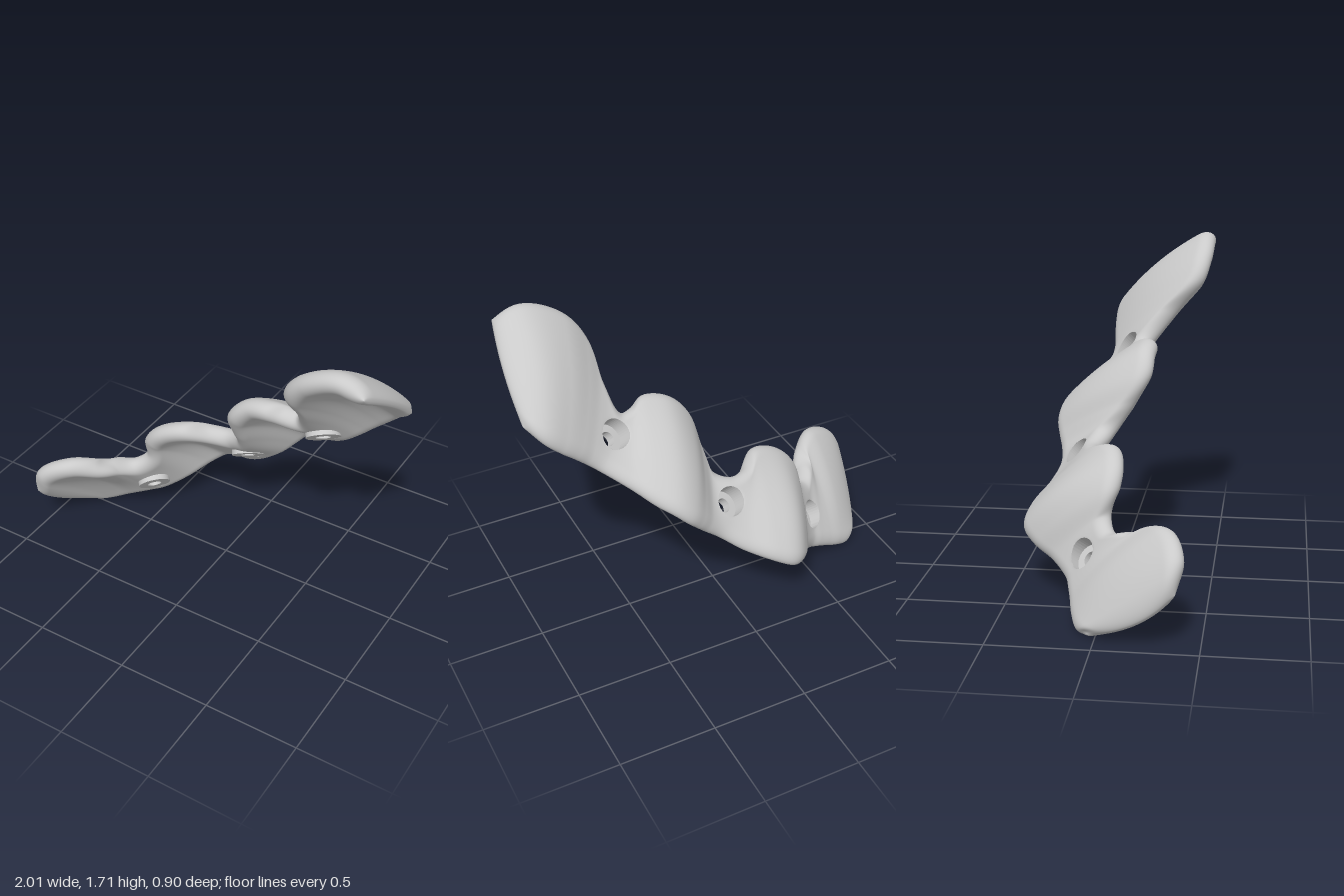
import * as THREE from 'three';
import { mergeVertices, toCreasedNormals } from 'three/addons/utils/BufferGeometryUtils.js';

const V = (x, y, z) => new THREE.Vector3(x, y, z);

// Low rear edge of the plate, station by station
const REAR = [
  [-.88, .04, -.05], [-.82, .03, -.10], [-.74, .06, -.13], [-.66, .10, -.15], [-.59, .135, -.17],
  [-.52, .17, -.195], [-.42, .23, -.28], [-.34, .285, -.39], [-.27, .33, -.445], [-.18, .38, -.435],
  [-.03, .46, -.365], [.09, .555, -.315], [.17, .63, -.325], [.23, .69, -.345], [.29, .75, -.36],
  [.35, .805, -.345], [.43, .86, -.29], [.53, .94, -.19], [.64, 1.025, -.115], [.70, 1.075, -.10],
  [.76, 1.13, -.105], [.83, 1.19, -.11], [.91, 1.265, -.10], [.98, 1.34, -.03],
].map((p) => V(...p));

// High front edge with its four lobes
const LOBES = [
  [-1, .30, .37], [-.95, .45, .40], [-.80, .53, .35], [-.69, .505, .25], [-.645, .47, .13],
  [-.58, .445, .04], [-.505, .50, .01], [-.475, .635, .05], [-.39, .72, .06], [-.26, .775, .025],
  [-.16, .745, -.08], [-.07, .74, -.10], [.025, .785, -.05], [.07, .92, .06], [.10, 1.07, .145],
  [.19, 1.17, .155], [.30, 1.20, .155], [.38, 1.18, .11], [.445, 1.18, .095], [.505, 1.33, .22],
  [.53, 1.51, .38], [.62, 1.63, .42], [.80, 1.71, .43], [.94, 1.67, .425],
].map((p) => V(...p));

// Outward bulge of the middle of each section
const BULGE = [0, .02, .04, .03, .01, 0, .01, .03, .05, .03, 0, 0, 0, .02, .04, .04, .03, 0, 0, .02, .04, .05, .05, .02];
const OUT = V(-.45, .6, -.6).normalize();
const LAST = REAR.length - 1;
const bow = BULGE.map((b) => OUT.clone().multiplyScalar(b));
bow[0].add(V(-.04, -.03, .03));
bow[LAST].add(V(.03, 0, 0));

const rearCurve = new THREE.CatmullRomCurve3(REAR);
const lobeCurve = new THREE.CatmullRomCurve3(LOBES);
const bowCurve = new THREE.CatmullRomCurve3(bow, false, 'catmullrom');

// Middle surface: u in stations along the plate, v across it
function surface(u, v) {
  const t = u / LAST;
  return rearCurve.getPoint(t).lerp(lobeCurve.getPoint(t), v)
    .addScaledVector(bowCurve.getPoint(t), 4 * v * (1 - v));
}

// Unit normal of the inner side
function innerNormal(u, v) {
  const e = 0.01;
  const u0 = Math.max(0, u - e * 4), u1 = Math.min(LAST, u + e * 4);
  const v0 = Math.max(0, v - e), v1 = Math.min(1, v + e);
  const du = surface(u1, v).sub(surface(u0, v));
  return du.cross(surface(u, v1).sub(surface(u, v0))).normalize();
}

const rounding = (d, r) => Math.sqrt(Math.max(0, 1 - (1 - Math.min(1, d / r)) ** 2));

// Holes lean from the local normal towards a shared drilling direction
const BORE = 0.077;
const SEAT = -0.012;
const DRILL = V(-.5, .73, -.42).normalize();
const holes = [[5, .46], [11, .54], [18.1, .55]].map(([u, v]) => ({
  centre: surface(u, v),
  axis: innerNormal(u, v).negate().add(DRILL).normalize(),
}));

// Moves a point inside a bore out to its rim; returns the hole it belongs to
function snapToBore(p) {
  for (const hole of holes) {
    const rel = p.clone().sub(hole.centre);
    const along = rel.dot(hole.axis);
    const radial = rel.addScaledVector(hole.axis, -along);
    if (Math.abs(along) < 0.2 && radial.length() < BORE) {
      p.copy(hole.centre).addScaledVector(hole.axis, along).add(radial.setLength(BORE));
      return hole;
    }
  }
  return null;
}

function buildPlate() {
  const NU = 320, NV = 48;
  const points = [], owner = [], index = [], wall = [];
  for (const side of [1, -1]) { // 1 = inner face, -1 = outer face
    for (let i = 0; i <= NU; i++) {
      const s = i / NU;
      const u = Math.min(LAST, Math.max(0, LAST * (s - 0.7 * Math.sin(2 * Math.PI * s) / (2 * Math.PI))));
      const width = surface(u, 0).distanceTo(surface(u, 1));
      for (let j = 0; j <= NV; j++) {
        const v = (1 - Math.cos(Math.PI * j / NV)) / 2;
        const half = (0.043 + 0.012 * v)
          * rounding(Math.min(v, 1 - v) * width, 0.07)
          * rounding(Math.min(u, LAST - u) * 0.1, 0.07);
        const p = surface(u, v).addScaledVector(innerNormal(u, v), side * half);
        owner.push(snapToBore(p));
        points.push(p);
      }
    }
  }
  const layer = (NU + 1) * (NV + 1);
  // Leaves out faces within a bore and drops a wall from each rim edge to the seat
  const face = (a, b, c, outer) => {
    const tri = outer ? [a, c, b] : [a, b, c];
    const rim = tri.filter((k) => owner[k]);
    if (rim.length === 3) return;
    index.push(...tri);
    if (rim.length !== 2 || !outer) return;
    const [p, q] = rim.map((k) => points[k]);
    const { centre, axis } = owner[rim[0]];
    const foot = (r) => r.clone().addScaledVector(axis, SEAT - r.clone().sub(centre).dot(axis));
    const p2 = foot(p), q2 = foot(q);
    wall.push(p, q, p2, q, q2, p2);
  };
  for (const start of [0, layer]) {
    for (let i = 0; i < NU; i++) {
      for (let j = 0; j < NV; j++) {
        const a = start + i * (NV + 1) + j, b = a + NV + 1;
        face(a, b, a + 1, start > 0);
        face(b, b + 1, a + 1, start > 0);
      }
    }
  }
  let plate = new THREE.BufferGeometry().setFromPoints(points);
  plate.setIndex(index);
  plate = mergeVertices(plate, 1e-5);
  plate.computeVertexNormals();
  const bores = new THREE.BufferGeometry().setFromPoints(wall);
  bores.computeVertexNormals();
  return { plate, bores };
}

export function createModel() {
  const group = new THREE.Group();
  const grey = new THREE.MeshStandardMaterial({ color: 0xcacaca, side: THREE.DoubleSide });
  grey.name = 'light grey';

  const add = (name, geometry) => {
    const mesh = new THREE.Mesh(geometry, grey);
    mesh.name = name;
    group.add(mesh);
    return mesh;
  };

  // Lobed, folded plate and the walls of its countersunk holes
  const { plate, bores } = buildPlate();
  add('lobedPlate', plate);
  add('boreWalls', bores);

  // Screw seat with through hole, standing out as a low collar on the inner face
  const profile = [[.087, .005], [.087, -.06], [.038, -.06], [.038, SEAT], [.08, SEAT]]
    .map(([r, y]) => new THREE.Vector2(r, y));
  const seat = toCreasedNormals(new THREE.LatheGeometry(profile, 40), 0.6);
  for (const { centre, axis } of holes) {
    const mesh = add('screwSeat', seat);
    mesh.position.copy(centre);
    mesh.quaternion.setFromUnitVectors(V(0, 1, 0), axis);
  }

  // Centre it and stand it on the ground
  const box = new THREE.Box3().setFromObject(group, true);
  const mid = box.getCenter(V(0, 0, 0));
  for (const child of group.children) child.position.sub(V(mid.x, box.min.y, mid.z));
  return group;
}
